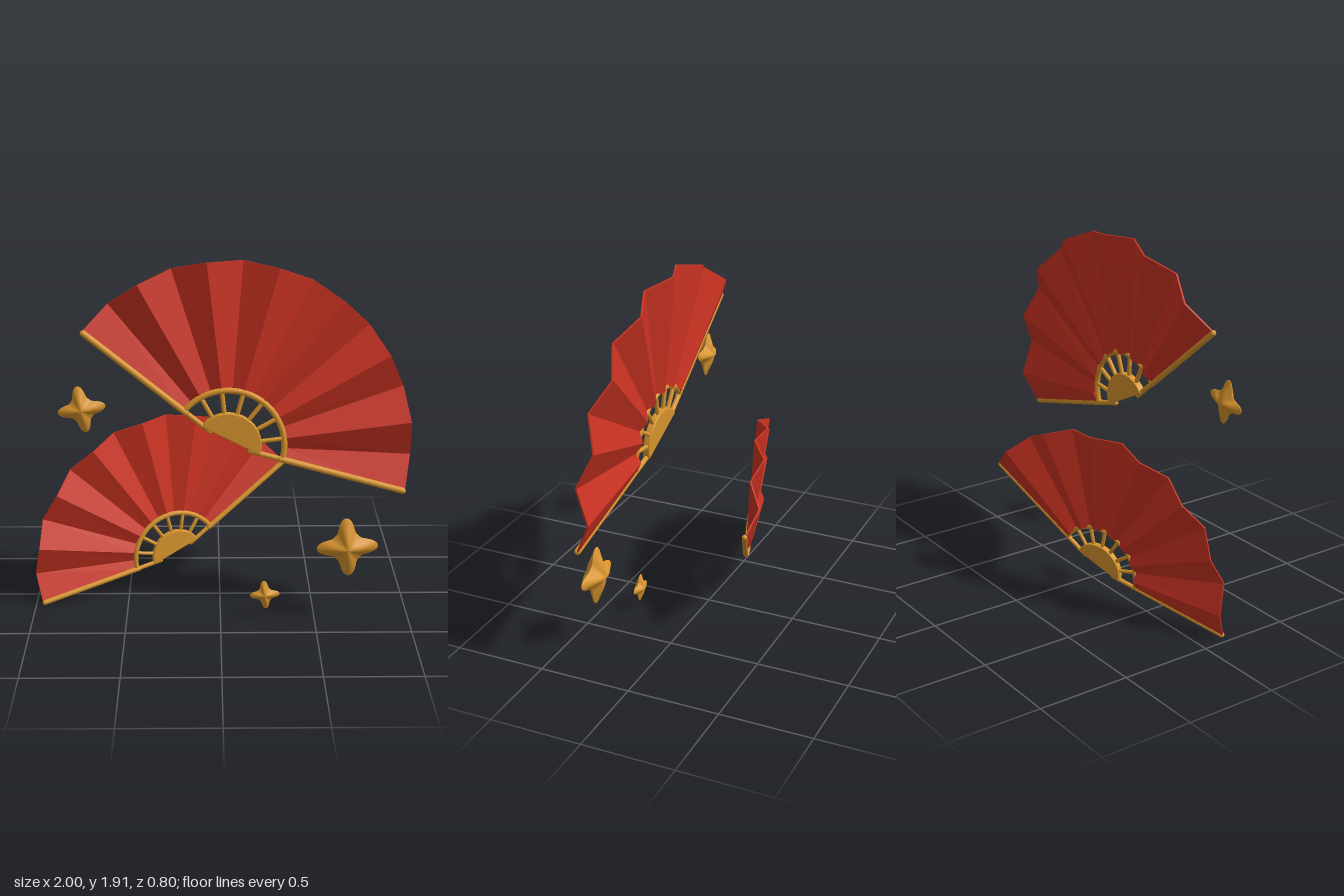
import * as THREE from 'three';

const RED = 0xcc3322, GOLD = 0xd9952c;
const HALF = THREE.MathUtils.degToRad(78.2); // half of the opening angle
const PLEATS = 14, INNER = 0.29, OUTER = 0.957;

const red = new THREE.MeshStandardMaterial({ color: RED, side: THREE.DoubleSide });
const gold = new THREE.MeshStandardMaterial({ color: GOLD });

function mesh(name, geometry, material) {
  const m = new THREE.Mesh(geometry, material);
  m.name = name;
  return m;
}

// angle of fold i, with the fan opening towards +y
const foldAngle = (i) => Math.PI / 2 + HALF - (i / PLEATS) * 2 * HALF;
const polar = (a, r, z = 0) => new THREE.Vector3(Math.cos(a) * r, Math.sin(a) * r, z);

// pleated sheet with a little thickness; odd folds sit further back
function pleatGeometry() {
  const pos = [], t = 0.005;
  const quad = (a, b, c, d) => [a, b, c, a, c, d].forEach((v) => pos.push(v.x, v.y, v.z));
  const section = (i) => {
    const a = foldAngle(i), back = i % 2;
    const zi = -0.024 * back, zo = -0.072 * back;
    return [polar(a, INNER, zi + t), polar(a, OUTER, zo + t), polar(a, OUTER, zo - t), polar(a, INNER, zi - t)];
  };
  for (let i = 0; i < PLEATS; i++) {
    const p = section(i), q = section(i + 1);
    for (let k = 0; k < 4; k++) {
      const n = (k + 1) % 4;
      quad(p[k], q[k], q[n], p[n]);
    }
  }
  quad(...section(0));
  quad(...section(PLEATS).reverse());
  const g = new THREE.BufferGeometry();
  g.setAttribute('position', new THREE.Float32BufferAttribute(pos, 3));
  g.computeVertexNormals();
  return g;
}

// round stick along a fold, from radius r0 to r1
function stick(name, angle, r0, r1, thick, z) {
  const m = mesh(name, new THREE.CapsuleGeometry(thick, r1 - r0, 4, 12), gold);
  m.position.copy(polar(angle, (r0 + r1) / 2, z));
  m.rotation.z = angle - Math.PI / 2;
  return m;
}

function createFan(name) {
  const fan = new THREE.Group();
  fan.name = name;
  fan.add(mesh('pleatedLeaf', pleatGeometry(), red));

  // spokes on the front folds and the two outer guards
  for (let i = 0; i <= PLEATS; i += 2) {
    const edge = i === 0 || i === PLEATS;
    fan.add(stick('spoke', foldAngle(i), 0.12, INNER, edge ? 0.014 : 0.012, 0));
    if (edge) fan.add(stick('guard', foldAngle(i), 0.28, 0.945, 0.017, 0.004));
  }

  // ring holding the inner edge of the leaf
  const ring = mesh('innerRing', new THREE.TorusGeometry(0.291, 0.016, 10, 40, 2 * HALF), gold);
  ring.rotation.z = Math.PI / 2 - HALF;
  fan.add(ring);

  // solid sector at the pivot
  const sector = new THREE.Shape();
  sector.moveTo(0, 0);
  sector.absarc(0, 0, 0.168, Math.PI / 2 - HALF, Math.PI / 2 + HALF, false);
  sector.closePath();
  const hub = mesh('hub', new THREE.ExtrudeGeometry(sector, {
    depth: 0.028, curveSegments: 12,
    bevelEnabled: true, bevelThickness: 0.006, bevelSize: 0.006, bevelSegments: 2,
  }), gold);
  hub.position.z = -0.014;
  fan.add(hub);
  return fan;
}

// puffed four-pointed star: a sphere pinched between its points
function createSparkle(name, x, y, z, radius, turn) {
  const g = new THREE.SphereGeometry(1, 64, 32);
  g.rotateX(Math.PI / 2);
  const p = g.attributes.position;
  for (let i = 0; i < p.count; i++) {
    const px = p.getX(i), py = p.getY(i), pz = p.getZ(i);
    const t = Math.min(1, Math.hypot(px, py));
    const a = Math.atan2(py, px);
    const r = 0.54 + 0.46 * Math.abs(Math.cos(2 * a)) ** 3.5;
    const puff = 0.35 * (0.32 * Math.abs(pz) + 0.68 * (1 - t * t) ** 2);
    p.setXYZ(i, px * r, py * r, Math.sign(pz) * puff);
  }
  g.computeVertexNormals();
  const m = mesh(name, g, gold);
  m.position.set(x, y, z);
  m.scale.setScalar(radius);
  m.rotation.z = turn;
  return m;
}

export function createModel() {
  const model = new THREE.Group();
  model.name = 'foldingFans';

  const upper = createFan('upperFan');
  upper.position.set(0.04, 0.962, 0.27);
  upper.rotation.set(-0.055, 0, THREE.MathUtils.degToRad(-27), 'YXZ');

  const lower = createFan('lowerFan');
  lower.position.set(-0.235, 0.187, -0.125);
  lower.rotation.set(-0.06, 0.34, THREE.MathUtils.degToRad(24.2), 'YXZ');
  lower.scale.setScalar(0.83);

  model.add(
    upper, lower,
    createSparkle('largeSparkle', 0.665, 0.422, 0.345, 0.162, 0.06),
    createSparkle('mediumSparkle', -0.708, 1.178, 0.33, 0.124, 0.17),
    createSparkle('smallSparkle', 0.236, 0.136, 0.31, 0.08, 0.08),
  );
  return model;
}
